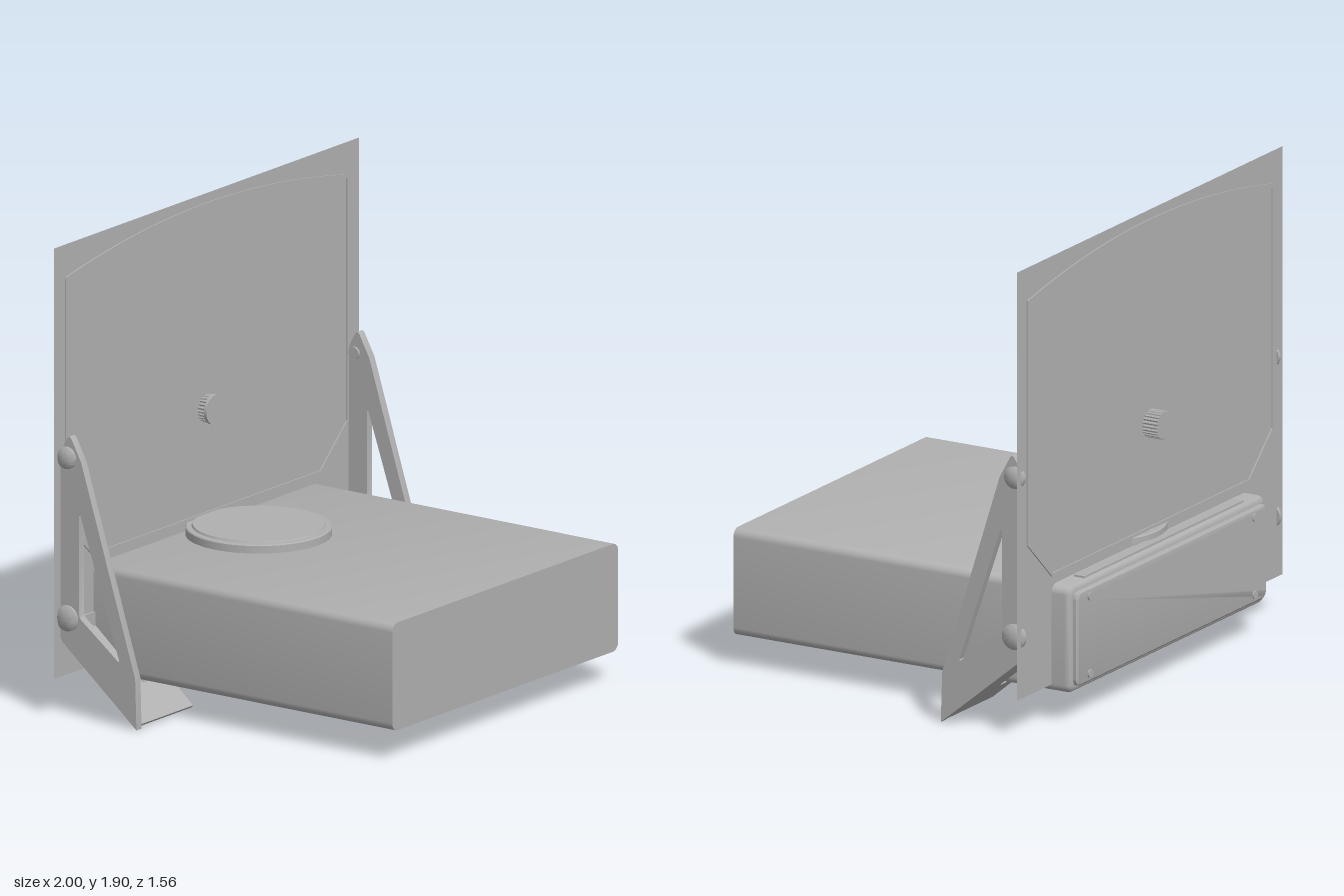
import * as THREE from 'three';
import { toCreasedNormals, mergeVertices } from 'three/addons/utils/BufferGeometryUtils.js';

const grey = new THREE.MeshStandardMaterial({ color: 0xb0b0b0 });
grey.name = 'grey';
const sheetGrey = grey.clone();
sheetGrey.name = 'sheet grey';
sheetGrey.side = THREE.DoubleSide;

const SHEET_Z = -0.672;

function add(parent, name, geometry, x = 0, y = 0, z = 0, material = grey) {
  const mesh = new THREE.Mesh(geometry, material);
  mesh.name = name;
  mesh.position.set(x, y, z);
  parent.add(mesh);
  return mesh;
}

const polygon = (pts) => new THREE.Shape(pts.map(([x, y]) => new THREE.Vector2(x, y)));

function extrude(shape, depth) {
  const g = new THREE.ExtrudeGeometry(shape, { depth, bevelEnabled: false, curveSegments: 10 });
  return toCreasedNormals(g, 0.6);
}

// Points around a rounded rectangle, counter-clockwise seen from +z
function roundedLoop(w, h, r, n = 6) {
  const pts = [];
  [[1, 1], [-1, 1], [-1, -1], [1, -1]].forEach(([sx, sy], k) => {
    for (let i = 0; i <= n; i++) {
      const a = (k + i / n) * Math.PI / 2;
      pts.push([sx * (w / 2 - r) + r * Math.cos(a), sy * (h / 2 - r) + r * Math.sin(a)]);
    }
  });
  return pts;
}

// Solid made of rounded-rectangle sections [z, inset], from back to front
function roundedBlock(w, h, r, sections) {
  const pos = [], idx = [];
  const loops = sections.map(([, i]) => roundedLoop(w - 2 * i, h - 2 * i, Math.max(r - i * 0.6, 0.008)));
  const n = loops[0].length;
  loops.forEach((loop, s) => loop.forEach(([x, y]) => pos.push(x, y, sections[s][0])));
  for (let s = 0; s < loops.length - 1; s++) {
    for (let i = 0; i < n; i++) {
      const a = s * n + i, b = s * n + (i + 1) % n;
      idx.push(a, b, b + n, a, b + n, a + n);
    }
  }
  const last = (loops.length - 1) * n;
  for (let i = 1; i < n - 1; i++) {
    idx.push(0, i + 1, i, last, last + i, last + i + 1);
  }
  const g = new THREE.BufferGeometry();
  g.setAttribute('position', new THREE.Float32BufferAttribute(pos, 3));
  g.setIndex(idx);
  return toCreasedNormals(mergeVertices(g), 0.6);
}

// Outline of the raised rim, offset inward by d
function rimPoints(d) {
  const x = 0.927 - d, c = 0.4 * d;
  const pts = [[-x, 0.768 + c], [-0.745 + c, 0.597 + d], [0.745 - c, 0.597 + d], [x, 0.768 + c]];
  for (let i = 0; i <= 32; i++) {
    const t = 1 - i / 16;
    pts.push([x * t, 1.862 - d - 0.095 * t * t]);
  }
  return pts;
}

function buildBracket(side) {
  const bracket = new THREE.Group();
  bracket.name = side > 0 ? 'leftBracket' : 'rightBracket';

  // Triangular side plate, drawn in (-z, y) and turned to face sideways
  const plate = polygon([[0.3, 0], [0.66, 0.3], [0.668, 0.315], [0.668, 1.06], [0.655, 1.095],
    [0.635, 1.13], [0.626, 1.137], [0.617, 1.13], [0.568, 1.04], [0.306, 0.206]]);
  plate.holes.push(polygon([[0.387, 0.262], [0.572, 0.405], [0.58, 0.42], [0.58, 0.825],
    [0.574, 0.83], [0.384, 0.268]]));
  const g = extrude(plate, 0.034);
  g.rotateY(Math.PI / 2);
  add(bracket, 'sidePlate', g, side > 0 ? 0.926 : -0.96);

  // Sloping foot plate, narrowed where it passes the box
  const foot = extrude(polygon([[0.585, 0], [0.93, 0], [0.93, 0.465], [0.745, 0.465],
    [0.745, 0.165], [0.585, 0.165]].map(([x, y]) => [side * x, y])), 0.012);
  add(bracket, 'footPlate', foot, 0, 0.008, -0.31).rotation.x = -0.869;

  // Upright flange against the sheet
  add(bracket, 'flange', new THREE.BoxGeometry(0.19, 0.07, 0.01), side * 0.838, 0.338, SHEET_Z + 0.007);

  // Domed bolts through the plate
  [[1.05, -0.638, 0.045], [0.4, -0.635, 0.052]].forEach(([y, z, r]) => {
    const profile = [[0, 0], [r, 0], [r, 0.016], [r * 0.7, 0.026], [0, 0.03]]
      .map(([a, b]) => new THREE.Vector2(a, b));
    const head = toCreasedNormals(new THREE.LatheGeometry(profile, 28), 0.6);
    add(bracket, 'bolt', head, side * 0.952, y, z).rotation.z = -side * Math.PI / 2;
    const nut = new THREE.CylinderGeometry(0.025, 0.025, 0.012, 16);
    add(bracket, 'boltNut', nut, side * 0.922, y, z).rotation.z = Math.PI / 2;
  });
  return bracket;
}

export function createModel() {
  const model = new THREE.Group();
  model.name = 'boxWithBackPanel';

  // Main box: sharp front, rounded back edge
  const box = new THREE.Group();
  box.name = 'box';
  model.add(box);
  const edge = [];
  for (let i = 0; i <= 5; i++) {
    const a = i / 5 * Math.PI / 2;
    edge.push([-0.73 - 0.025 * Math.cos(a), 0.025 * (1 - Math.sin(a))]);
  }
  add(box, 'boxBody', roundedBlock(1.48, 0.437, 0.035, [...edge, [0.78, 0]]), 0, 0.343);

  // Rear cover with four screws
  add(box, 'rearCover', roundedBlock(1.43, 0.385, 0.03, [[-0.774, 0.008], [-0.768, 0], [-0.75, 0]]), 0, 0.343);
  for (const x of [-0.62, 0.62]) {
    for (const y of [0.185, 0.5]) {
      const screw = new THREE.CylinderGeometry(0.017, 0.017, 0.012, 16);
      add(box, 'coverScrew', screw, x, y, -0.774).rotation.x = Math.PI / 2;
    }
  }

  // Low strip on top, behind the sheet
  add(box, 'topStrip', new THREE.BoxGeometry(1.2, 0.016, 0.045), 0, 0.561, -0.713);

  // Round turntable on top
  const disc = [[0, 0], [0.287, 0], [0.287, 0.034], [0.283, 0.038], [0.262, 0.038], [0.258, 0.046], [0, 0.046]]
    .map(([r, y]) => new THREE.Vector2(r, y));
  add(box, 'turntable', toCreasedNormals(new THREE.LatheGeometry(disc, 64), 0.5), 0, 0.558, -0.418);

  // Upright sheet with raised rim
  const panel = new THREE.Group();
  panel.name = 'backPanel';
  model.add(panel);
  add(panel, 'sheet', new THREE.PlaneGeometry(2, 1.745), 0, 1.0275, SHEET_Z, sheetGrey);
  const rim = polygon(rimPoints(0));
  rim.holes.push(polygon(rimPoints(0.012)));
  add(panel, 'rim', extrude(rim, 0.012), 0, 0, SHEET_Z - 0.006);

  // Fluted knob through the sheet
  const flutes = [];
  for (let i = 0; i < 96; i++) {
    const a = i / 96 * Math.PI * 2, r = i % 4 < 2 ? 0.057 : 0.052;
    flutes.push([r * Math.cos(a), r * Math.sin(a)]);
  }
  add(panel, 'knob', extrude(polygon(flutes), 0.1), 0, 1.03, -0.738);
  const collar = new THREE.CylinderGeometry(0.06, 0.06, 0.012, 32);
  add(panel, 'knobCollar', collar, 0, 1.03, -0.634).rotation.x = Math.PI / 2;

  // Brackets on both sides
  model.add(buildBracket(1), buildBracket(-1));
  return model;
}
